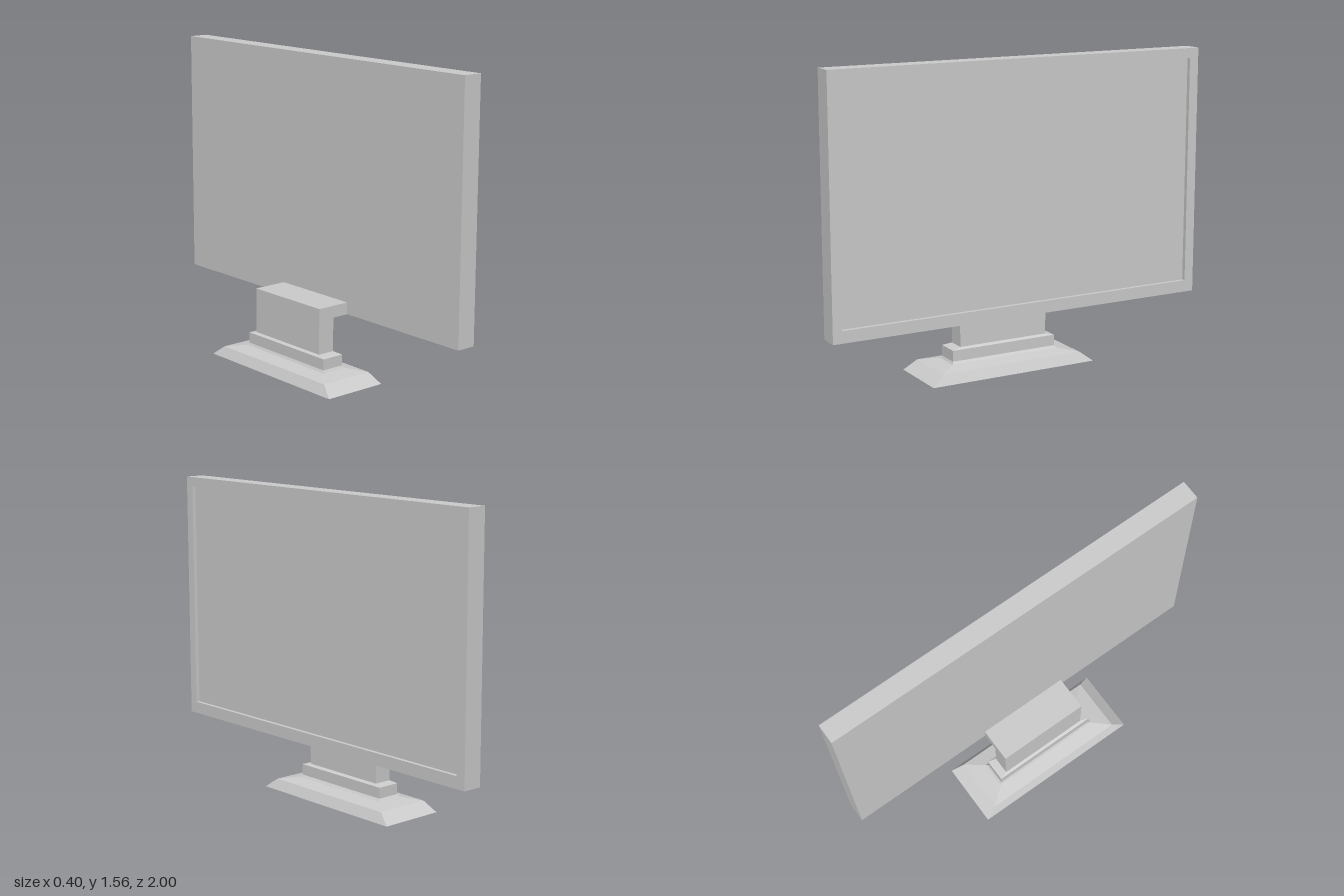
import * as THREE from 'three';

const material = new THREE.MeshStandardMaterial({ color: 0xcccccc, flatShading: true });

function add(group, name, geometry) {
  const mesh = new THREE.Mesh(geometry, material);
  mesh.name = name;
  group.add(mesh);
  return mesh;
}

// Box given by its minimum and maximum corners
function boxBetween(a, b) {
  const g = new THREE.BoxGeometry(b[0] - a[0], b[1] - a[1], b[2] - a[2]);
  return g.translate((a[0] + b[0]) / 2, (a[1] + b[1]) / 2, (a[2] + b[2]) / 2);
}

// Extrude a shape drawn in (-z, y) along x, from x0 to x1
function extrudeAlongX(shape, x0, x1) {
  const g = new THREE.ExtrudeGeometry(shape, { depth: x1 - x0, bevelEnabled: false });
  return g.rotateY(Math.PI / 2).translate(x0, 0, 0);
}

function rectangle(Type, u0, v0, u1, v1) {
  const r = new Type();
  r.moveTo(u0, v0);
  r.lineTo(u1, v0);
  r.lineTo(u1, v1);
  r.lineTo(u0, v1);
  r.closePath();
  return r;
}

// Closed loft through rectangular sections [y, x0, x1, z0, z1], bottom to top
function loftRectangles(sections) {
  const positions = [];
  const corners = ([y, x0, x1, z0, z1]) => [[x0, y, z1], [x1, y, z1], [x1, y, z0], [x0, y, z0]];
  const quad = (a, b, c, d) => positions.push(...a, ...b, ...c, ...a, ...c, ...d);
  const rings = sections.map(corners);
  for (let i = 0; i < rings.length - 1; i++) {
    for (let k = 0; k < 4; k++) {
      const n = (k + 1) % 4;
      quad(rings[i][k], rings[i][n], rings[i + 1][n], rings[i + 1][k]);
    }
  }
  quad(...rings[rings.length - 1]);
  quad(...[...rings[0]].reverse());
  const g = new THREE.BufferGeometry();
  g.setAttribute('position', new THREE.Float32BufferAttribute(positions, 3));
  g.computeVertexNormals();
  return g;
}

export function createModel() {
  const model = new THREE.Group();
  model.name = 'monitor';

  // Display: rear casing, bezel frame and recessed screen, facing +x
  const display = new THREE.Group();
  display.name = 'display';
  model.add(display);
  add(display, 'rearCasing', boxBetween([0.1, 0.31, -1], [0.17, 1.56, 1]));
  const frame = rectangle(THREE.Shape, -1, 0.31, 1, 1.56);
  frame.holes.push(rectangle(THREE.Path, -0.955, 0.37, 0.95, 1.51));
  add(display, 'bezel', extrudeAlongX(frame, 0.17, 0.2));
  add(display, 'screen', boxBetween([0.17, 0.37, -0.95], [0.18, 1.51, 0.955]));

  // Stand: L-shaped neck reaching forward to the display
  const stand = new THREE.Group();
  stand.name = 'stand';
  model.add(stand);
  const neck = new THREE.Shape([
    [-0.08, 0.14], [0.01, 0.14], [0.01, 0.31], [0.1, 0.31], [0.1, 0.37], [-0.08, 0.37],
  ].map(([x, y]) => new THREE.Vector2(x, y)));
  const neckGeometry = new THREE.ExtrudeGeometry(neck, { depth: 0.483, bevelEnabled: false });
  add(stand, 'neck', neckGeometry.translate(0, 0, -0.233));

  // Stepped, bevelled foot with a raised collar around the neck
  add(stand, 'foot', loftRectangles([
    [0, -0.2, 0.135, -0.44, 0.46],
    [0.05, -0.175, 0.11, -0.375, 0.395],
    [0.065, -0.1, 0.035, -0.285, 0.305],
    [0.077, -0.093, 0.025, -0.275, 0.298],
    [0.132, -0.093, 0.025, -0.275, 0.298],
    [0.141, -0.08, 0.01, -0.233, 0.25],
  ]));

  return model;
}
